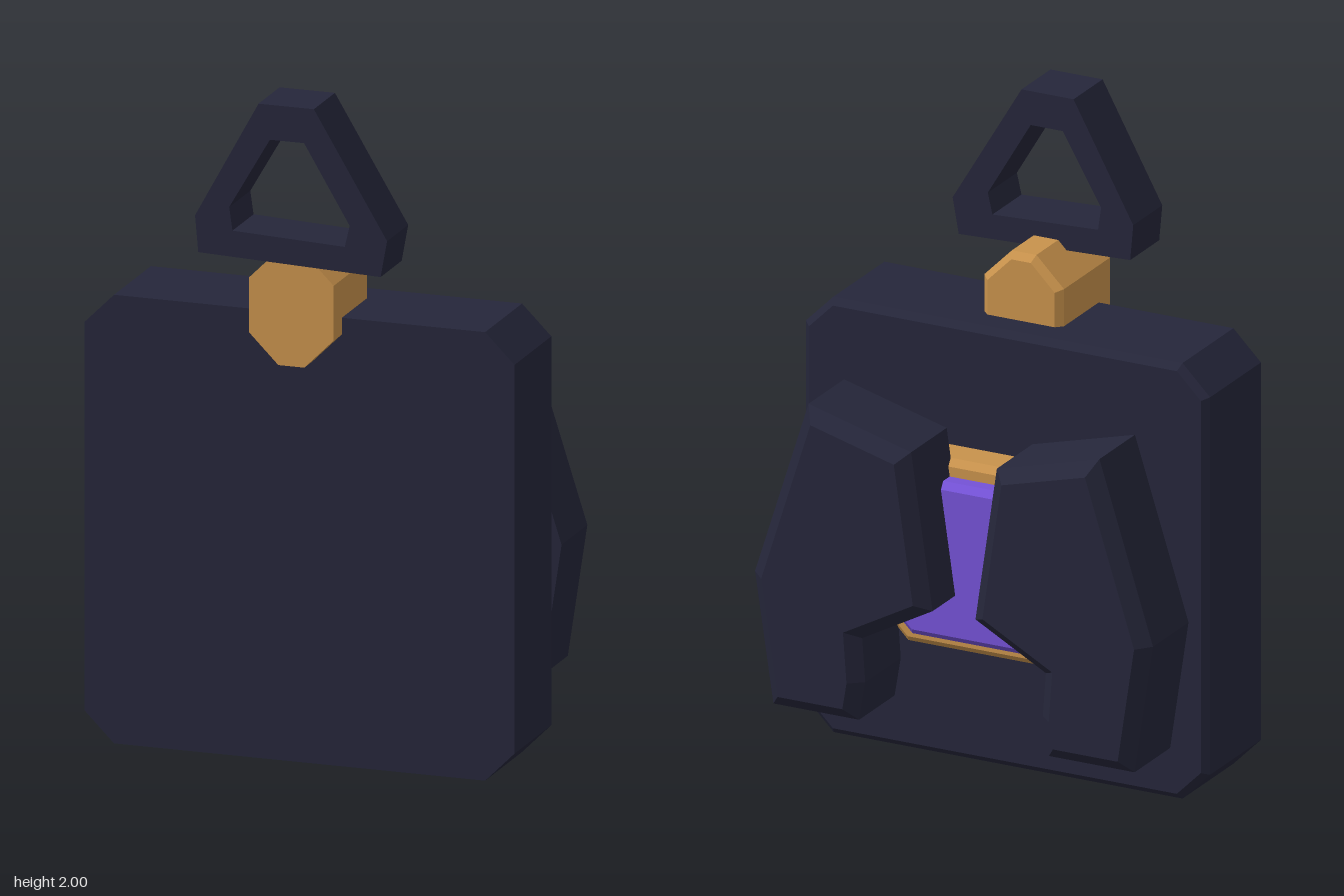
import * as THREE from 'three';

// Mitred inset of a counter-clockwise outline
function inset(pts, d) {
  const n = pts.length;
  return pts.map((p, i) => {
    const a = pts[(i + n - 1) % n], b = pts[(i + 1) % n];
    const e1 = p.clone().sub(a).normalize(), e2 = b.clone().sub(p).normalize();
    const n1 = new THREE.Vector2(-e1.y, e1.x), n2 = new THREE.Vector2(-e2.y, e2.x);
    return n1.add(n2).multiplyScalar(d / (1 + n1.clone().sub(n2).dot(n2))).add(p);
  });
}

// Slab with a flat front at z0 and a back at z1 whose rim is bevelled
function slab(outline, z0, z1, bevel) {
  const pts = outline.map(([x, y]) => new THREE.Vector2(x, y));
  if (THREE.ShapeUtils.area(pts) < 0) pts.reverse();
  const n = pts.length, small = inset(pts, bevel);
  const loops = [[pts, z0], [pts, z1 + bevel], [small, z1]];
  const pos = [];
  const put = (l, i) => pos.push(loops[l][0][i].x, loops[l][0][i].y, loops[l][1]);
  for (let l = 0; l < 2; l++) {
    for (let i = 0; i < n; i++) {
      const j = (i + 1) % n;
      put(l, i); put(l + 1, i); put(l, j);
      put(l, j); put(l + 1, i); put(l + 1, j);
    }
  }
  for (const [a, b, c] of THREE.ShapeUtils.triangulateShape(pts, [])) {
    put(0, a); put(0, b); put(0, c);
    put(2, a); put(2, c); put(2, b);
  }
  const g = new THREE.BufferGeometry();
  g.setAttribute('position', new THREE.Float32BufferAttribute(pos, 3));
  g.computeVertexNormals();
  return g;
}

// Rectangle with cut corners
function octagon(w, y0, y1, c) {
  return [[-w + c, y0], [w - c, y0], [w, y0 + c], [w, y1 - c],
    [w - c, y1], [-w + c, y1], [-w, y1 - c], [-w, y0 + c]];
}

export function createModel() {
  const group = new THREE.Group();
  const material = (name, color) => {
    const m = new THREE.MeshStandardMaterial({ color });
    m.name = name;
    return m;
  };
  const navy = material('dark navy', 0x25263a);
  const gold = material('gold', 0xc8924c);
  const purple = material('purple', 0x7452d6);
  const add = (name, geometry, mat) => {
    const mesh = new THREE.Mesh(geometry, mat);
    mesh.name = name;
    group.add(mesh);
  };

  // Main block, top knob and rear mount
  add('body', slab(octagon(0.66, 0, 1.35, 0.09), 0.295, -0.04, 0.02), navy);
  add('topKnob', slab(octagon(0.13, 1.21, 1.555, 0.09), 0.365, 0.06, 0.02), gold);
  add('rearMount', slab(octagon(0.355, 0.38, 0.97, 0.09), -0.03, -0.155, 0.02), gold);
  add('rearCore', slab(octagon(0.31, 0.43, 0.92, 0.09), -0.14, -0.215, 0.02), purple);

  // Mirrored rear panels, notched on the inner side
  const panel = [[0.14, 1.06], [0.07, 0.58], [0.3, 0.455], [0.29, 0.32],
    [0.31, 0.2], [0.59, 0.2], [0.65, 0.6], [0.475, 1.15]];
  for (const side of [1, -1]) {
    add(side > 0 ? 'leftPanel' : 'rightPanel',
      slab(panel.map(([x, y]) => [side * x, y]), -0.135, -0.395, 0.04), navy);
  }

  // Slightly crooked triangular ring
  const vec = ([x, y]) => new THREE.Vector2(x, y);
  const ring = new THREE.Shape([[-0.09, 2], [-0.285, 1.645], [-0.275, 1.535],
    [0.285, 1.515], [0.305, 1.625], [0.08, 2]].map(vec));
  ring.holes.push(new THREE.Path([[-0.055, 1.895], [0.05, 1.895], [0.19, 1.66],
    [0.175, 1.595], [-0.17, 1.61], [-0.18, 1.68]].map(vec)));
  const ringGeometry = new THREE.ExtrudeGeometry(ring, { depth: 0.18, bevelEnabled: false });
  ringGeometry.translate(0, 0, 0.215);
  add('hangingRing', ringGeometry, navy);

  return group;
}
